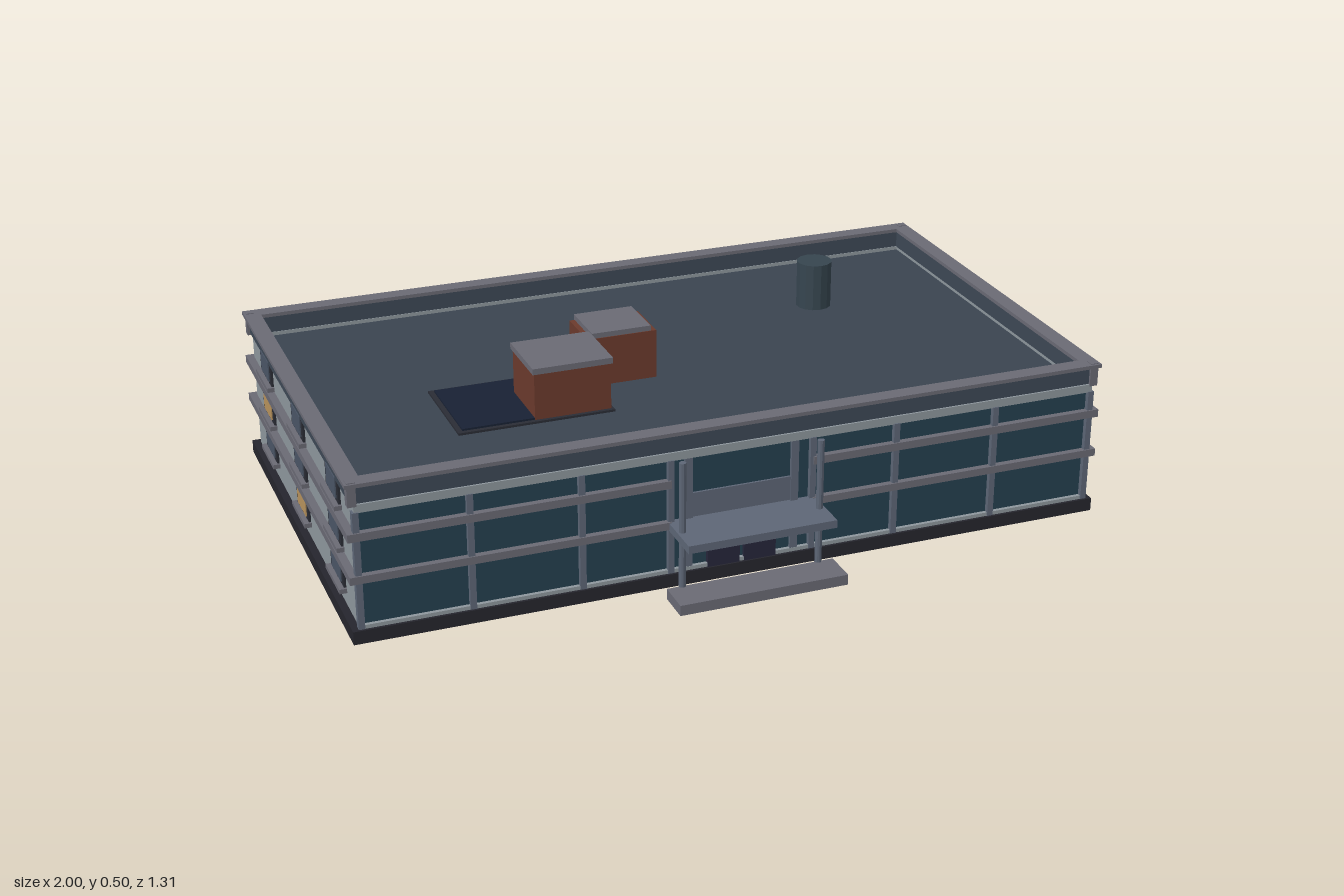
import * as THREE from 'three';

const mat = (color) => new THREE.MeshStandardMaterial({ color, flatShading: true });
const M = {
  wall: mat(0x8e979d), trim: mat(0x6a6a74), base: mat(0x25252d), fascia: mat(0x3d4855),
  roof: mat(0x3a4450), glass: mat(0x243f4f), brick: mat(0x6b3a2c), lit: mat(0xb8935c),
  pane: mat(0x4a5566), frame: mat(0x2a2c35), navy: mat(0x182134), door: mat(0x25253a),
  steel: mat(0x5d6676), duct: mat(0x36454f),
};

// Box given by its extents along each axis
function box(parent, name, m, x0, x1, y0, y1, z0, z1) {
  const mesh = new THREE.Mesh(new THREE.BoxGeometry(x1 - x0, y1 - y0, z1 - z0), m);
  mesh.position.set((x0 + x1) / 2, (y0 + y1) / 2, (z0 + z1) / 2);
  mesh.name = name;
  parent.add(mesh);
  return mesh;
}

// Rectangular ring: outer half width X, depth z0..z1, thickness t
function ring(parent, name, m, X, z0, z1, t, y0, y1) {
  const g = new THREE.Group();
  g.name = name;
  for (const s of [-1, 1]) {
    const a = s * X, b = s * (X - t);
    box(g, name + 'Side', m, Math.min(a, b), Math.max(a, b), y0, y1, z0, z1);
  }
  box(g, name + 'Back', m, -X + t, X - t, y0, y1, z0, z0 + t);
  box(g, name + 'Front', m, -X + t, X - t, y0, y1, z1 - t, z1);
  parent.add(g);
}

function cylinder(parent, name, m, r, y0, y1, x, z, sides) {
  const mesh = new THREE.Mesh(new THREE.CylinderGeometry(r, r, y1 - y0, sides), m);
  mesh.position.set(x, (y0 + y1) / 2, z);
  mesh.name = name;
  parent.add(mesh);
}

// Window with frame, pane and sill, facing +z from the wall plane at z = 0
function windowUnit(lit) {
  const g = new THREE.Group();
  g.name = 'window';
  box(g, 'windowFrame', M.frame, -0.065, 0.065, -0.037, 0.037, -0.005, 0.006);
  box(g, 'windowPane', lit ? M.lit : M.pane, -0.046, 0.046, -0.029, 0.027, 0, 0.009);
  box(g, 'windowSill', M.trim, -0.072, 0.072, -0.049, -0.037, -0.005, 0.019);
  return g;
}

const FLOORS = [0.12, 0.232, 0.344];

// A facade of windows; lit holds "column,floor" keys
function facade(parent, name, columns, lit, place) {
  const g = new THREE.Group();
  g.name = name;
  columns.forEach((c, i) => FLOORS.forEach((y, f) => {
    const w = windowUnit(lit.includes(`${i},${f}`));
    place(w, c);
    w.position.y = y;
    g.add(w);
  }));
  parent.add(g);
}

export function createModel() {
  const root = new THREE.Group();
  root.name = 'officeBuilding';

  // Main body
  box(root, 'plinth', M.base, -1, 1, 0, 0.035, -0.65, 0.507);
  box(root, 'walls', M.wall, -0.98, 0.98, 0.035, 0.352, -0.63, 0.486);
  box(root, 'roofDeck', M.roof, -0.965, 0.965, 0.345, 0.356, -0.62, 0.475);
  ring(root, 'parapet', M.fascia, 0.987, -0.64, 0.495, 0.029, 0.365, 0.412);
  ring(root, 'upperWall', M.wall, 0.98, -0.63, 0.486, 0.021, 0.345, 0.366);
  ring(root, 'parapetCap', M.trim, 1, -0.653, 0.507, 0.044, 0.411, 0.421);
  for (const x of [-0.983, 0.983])
    for (const z of [-0.636, 0.49])
      box(root, 'parapetCorner', M.trim, x - 0.011, x + 0.011, 0.36, 0.423, z - 0.011, z + 0.011);

  // Floor bands, the upper one broken at the entrance bay
  for (const [y0, y1] of [[0.16, 0.18], [0.272, 0.293]]) {
    box(root, 'floorBand', M.trim, -1, 1, y0, y1, -0.65, 0.48);
    for (const s of [-1, 1])
      box(root, 'frontBand', M.trim, s < 0 ? -1 : 0.19, s < 0 ? -0.19 : 1, y0, y1, 0.48, 0.507);
  }

  // Side and back windows
  const sideZ = [0.305, -0.068, -0.44];
  facade(root, 'rightWindows', sideZ, ['2,0', '2,2'], (w, z) => {
    w.position.set(0.98, 0, z);
    w.rotation.y = Math.PI / 2;
  });
  facade(root, 'leftWindows', sideZ, ['2,1', '1,0'], (w, z) => {
    w.position.set(-0.98, 0, z);
    w.rotation.y = -Math.PI / 2;
  });
  const backX = [0, 1, 2, 3, 4, 5].map((i) => 0.82 - i * 0.328);
  facade(root, 'backWindows', backX, ['1,0', '2,0', '2,1', '3,0', '4,2'], (w, x) => {
    w.position.set(x, 0, -0.63);
    w.rotation.y = Math.PI;
  });

  // Front curtain wall
  const curtain = new THREE.Group();
  curtain.name = 'curtainWall';
  root.add(curtain);
  box(curtain, 'glazing', M.glass, -0.975, 0.975, 0.035, 0.355, 0.48, 0.49);
  box(curtain, 'headRail', M.wall, -0.98, 0.98, 0.343, 0.365, 0.482, 0.5);
  box(curtain, 'sillRail', M.wall, -0.98, 0.98, 0.034, 0.045, 0.482, 0.5);
  for (const x of [0.19, 0.42, 0.7, 0.977])
    for (const s of [-1, 1])
      box(curtain, 'mullion', M.steel, s * x - 0.008, s * x + 0.008, 0.036, 0.345, 0.484, 0.503);

  // Entrance: bay panel, doors, canopy, posts and step
  const entrance = new THREE.Group();
  entrance.name = 'entrance';
  root.add(entrance);
  for (const s of [-1, 1]) {
    box(entrance, 'bayMullion', M.steel, s * 0.142 - 0.01, s * 0.142 + 0.01, 0.04, 0.345, 0.486, 0.499);
    box(entrance, 'door', M.door, s * 0.049 - 0.043, s * 0.049 + 0.043, 0.035, 0.146, 0.486, 0.502);
    cylinder(entrance, 'canopyPost', M.steel, 0.009, 0.026, 0.365, s * 0.183, 0.56, 10);
  }
  box(entrance, 'bayPanel', M.steel, -0.135, 0.135, 0.18, 0.245, 0.486, 0.496);
  box(entrance, 'canopy', M.steel, -0.197, 0.197, 0.157, 0.178, 0.486, 0.638);
  box(entrance, 'step', M.trim, -0.224, 0.224, 0, 0.028, 0.56, 0.653);

  // Rooftop: skylight slab, two brick stacks and a vent
  box(root, 'skylightCurb', M.frame, -0.638, -0.226, 0.35, 0.362, -0.08, 0.2);
  box(root, 'skylight', M.navy, -0.625, -0.238, 0.352, 0.367, -0.068, 0.188);
  box(root, 'brickStack', M.brick, -0.436, -0.233, 0.352, 0.488, 0.014, 0.19);
  box(root, 'stackCap', M.trim, -0.441, -0.229, 0.487, 0.503, 0.01, 0.196);
  box(root, 'brickStackSmall', M.brick, -0.24, -0.05, 0.352, 0.488, -0.113, 0.03);
  box(root, 'stackCapSmall', M.trim, -0.226, -0.065, 0.487, 0.502, -0.118, 0.028);
  cylinder(root, 'roofVent', M.duct, 0.049, 0.352, 0.487, 0.545, -0.295, 14);

  return root;
}
